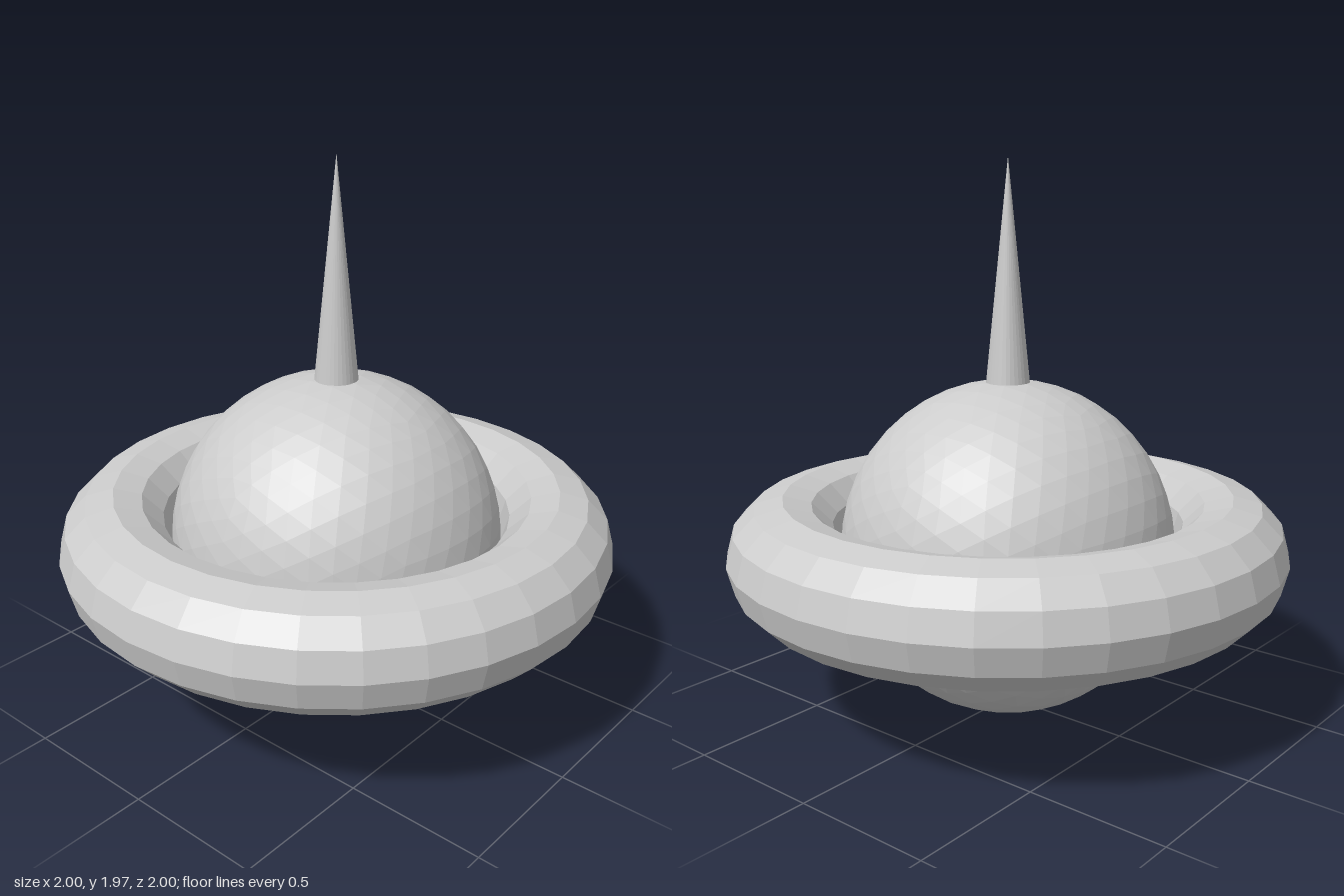
import * as THREE from 'three';

export function createModel() {
  const model = new THREE.Group();
  const material = new THREE.MeshStandardMaterial({ color: 0xcccccc, flatShading: true });

  function add(name, geometry, y) {
    const mesh = new THREE.Mesh(geometry, material);
    mesh.name = name;
    mesh.position.y = y;
    model.add(mesh);
    return mesh;
  }

  // Faceted ball body
  add('body', new THREE.IcosahedronGeometry(0.6, 7), 0.6);

  // Ring around the equator, twelve-sided in section
  add('ring', new THREE.TorusGeometry(0.8, 0.2, 12, 32).rotateX(Math.PI / 2), 0.6);

  // Tall spike, its base sunk slightly into the body
  add('spike', new THREE.ConeGeometry(0.08, 0.8, 32), 1.57);

  return model;
}
